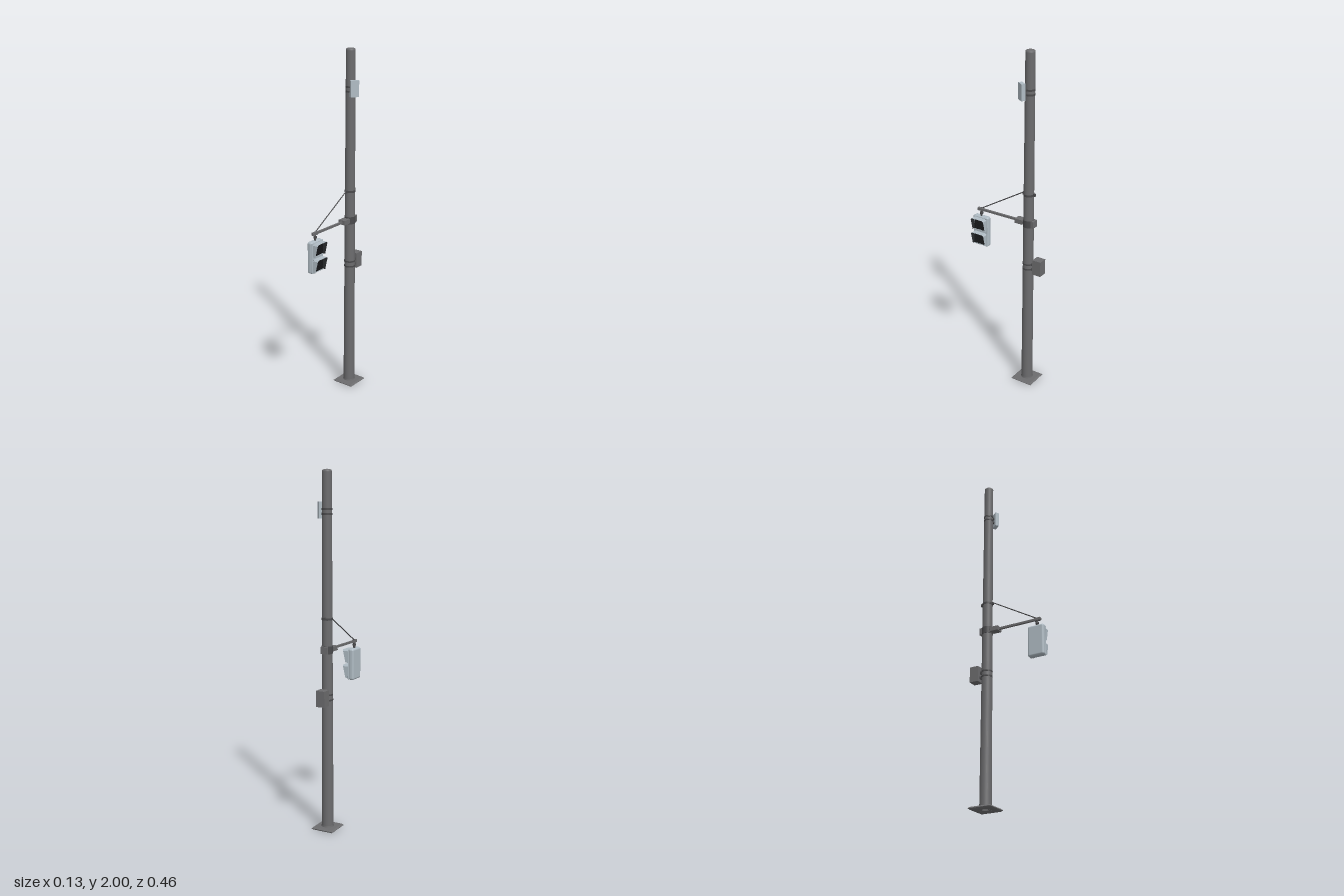
import * as THREE from 'three';
import { RoundedBoxGeometry } from 'three/addons/geometries/RoundedBoxGeometry.js';

const mat = (name, color, side = THREE.FrontSide) => {
  const m = new THREE.MeshStandardMaterial({ color, side });
  m.name = name;
  return m;
};

export function createModel() {
  const steel = mat('grey steel', 0x6c6c6e);
  const dark = mat('dark steel', 0x4a4a4c);
  const pale = mat('pale blue grey', 0xb0bcc4);
  const black = mat('black', 0x17181a);
  const hoodInside = mat('hood lining', 0x2b2d30, THREE.BackSide);
  const model = new THREE.Group();
  const PZ = -0.139; // pole axis
  const radiusAt = (y) => 0.033 - 0.0035 * y;

  const add = (name, geo, material, x = 0, y = 0, z = 0, parent = model) => {
    const mesh = new THREE.Mesh(geo, material);
    mesh.name = name;
    mesh.position.set(x, y, z);
    parent.add(mesh);
    return mesh;
  };
  const box = (name, w, h, d, material, x, y, z, parent) =>
    add(name, new THREE.BoxGeometry(w, h, d), material, x, y, z, parent);
  // Round bar between two points
  const bar = (name, a, b, r, material) => {
    const dir = b.clone().sub(a);
    const mid = a.clone().add(b).multiplyScalar(0.5);
    const m = add(name, new THREE.CylinderGeometry(r, r, dir.length(), 10), material, mid.x, mid.y, mid.z);
    m.quaternion.setFromUnitVectors(new THREE.Vector3(0, 1, 0), dir.normalize());
    return m;
  };

  // Tapered pole with a shallow domed cap
  add('pole', new THREE.CylinderGeometry(radiusAt(1.995), radiusAt(0), 1.99, 32, 1, true), steel, 0, 0.995, PZ);
  const cap = [[0.0262, 1.985], [0.0262, 1.991], [0.022, 1.996], [0.012, 1.999], [0, 2]];
  add('poleCap', new THREE.LatheGeometry(cap.map((p) => new THREE.Vector2(...p)), 32), steel, 0, 0, PZ);

  // Square base plate with a bevelled edge and a hole under the pole
  const s = 0.059;
  const plate = new THREE.Shape([[-s, -s], [s, -s], [s, s], [-s, s]].map((p) => new THREE.Vector2(...p)));
  plate.holes.push(new THREE.Path().absarc(0, 0, 0.034, 0, Math.PI * 2, true));
  const baseGeo = new THREE.ExtrudeGeometry(plate, {
    depth: 0.002, bevelEnabled: true, bevelSize: 0.008, bevelThickness: 0.007, bevelSegments: 1, curveSegments: 24,
  });
  baseGeo.rotateX(-Math.PI / 2);
  add('basePlate', baseGeo, steel, 0, 0.007, PZ);
  add('baseCollar', new THREE.CylinderGeometry(0.034, 0.036, 0.012, 32, 1, true), steel, 0, 0.018, PZ);
  const ring = new THREE.RingGeometry(0.019, 0.034, 32);
  ring.rotateX(Math.PI / 2);
  add('baseRing', ring, steel, 0, 0.003, PZ);

  // Clamping bands
  const band = (y, h) => {
    const r = radiusAt(y) + 0.0018;
    add('band', new THREE.CylinderGeometry(r, r, h, 32), dark, 0, y, PZ);
  };
  [[0.75, 0.009], [0.78, 0.009], [1.2, 0.012], [1.765, 0.01], [1.79, 0.01]].forEach(([y, h]) => band(y, h));
  box('bandBolt', 0.012, 0.014, 0.014, dark, 0, 1.204, PZ - 0.036);
  box('stayLug', 0.01, 0.014, 0.014, dark, 0, 1.2, PZ + 0.033);

  // Arm bracket: collar with front and rear clamp blocks
  band(1.03, 0.042);
  box('bracketFront', 0.044, 0.026, 0.05, steel, 0, 1.03, -0.085);
  box('bracketRear', 0.04, 0.04, 0.016, steel, 0, 1.03, PZ - 0.034);
  for (const x of [-0.016, 0.016]) box('bracketBolt', 0.007, 0.007, 0.08, dark, x, 1.03, PZ);

  // Arm, stay rod and signal hanger
  box('arm', 0.012, 0.012, 0.265, steel, 0, 1.03, 0.0725);
  box('armTip', 0.016, 0.016, 0.038, steel, 0, 1.03, 0.184);
  bar('stayRod', new THREE.Vector3(0, 1.034, 0.185), new THREE.Vector3(0, 1.205, -0.103), 0.003, dark);
  bar('hanger', new THREE.Vector3(0, 0.985, 0.181), new THREE.Vector3(0, 1.028, 0.181), 0.006, dark);
  add('hangerNut', new THREE.CylinderGeometry(0.01, 0.01, 0.01, 12), dark, 0, 1.008, 0.181);

  // Rear control cabinet
  box('cabinet', 0.052, 0.09, 0.053, steel, -0.006, 0.77, -0.2055);
  for (const y of [0.75, 0.78]) box('cabinetMount', 0.024, 0.014, 0.02, dark, 0, y, -0.174);

  // Upper sensor box, turned diagonally away from the pole
  const sensor = new THREE.Group();
  sensor.name = 'sensor';
  sensor.position.set(0.043, 1.785, -0.116);
  sensor.rotation.y = -0.6;
  model.add(sensor);
  box('sensorBox', 0.023, 0.09, 0.046, pale, 0, 0, 0, sensor);
  for (const y of [-0.02, 0.005]) box('sensorMount', 0.014, 0.01, 0.018, dark, -0.017, y, 0, sensor);

  // Two-section pedestrian signal facing +x
  const signal = new THREE.Group();
  signal.name = 'signal';
  signal.position.set(0, 0.899, 0.179);
  model.add(signal);
  add('signalBody', new RoundedBoxGeometry(0.033, 0.184, 0.1, 4, 0.012), pale, -0.0035, 0, 0, signal);
  add('signalDoor', new RoundedBoxGeometry(0.008, 0.178, 0.096, 2, 0.003), pale, 0.013, 0, 0, signal);

  // Hood: arch section in z/y whose depth shrinks towards the bottom
  const hoodGeo = () => {
    const arch = [[0.043, -0.038], [0.043, 0.03], [0.036, 0.038], [-0.036, 0.038], [-0.043, 0.03], [-0.043, -0.038]];
    const pos = [];
    const pt = ([z, y], out) => [out ? 0.034 + 0.018 * (y + 0.038) / 0.076 : 0.015, y, z];
    for (let i = 0; i < arch.length - 1; i++) {
      const a = pt(arch[i], 0), b = pt(arch[i], 1), c = pt(arch[i + 1], 1), d = pt(arch[i + 1], 0);
      pos.push(...a, ...b, ...c, ...a, ...c, ...d);
    }
    const g = new THREE.BufferGeometry();
    g.setAttribute('position', new THREE.Float32BufferAttribute(pos, 3));
    g.computeVertexNormals();
    return g;
  };
  for (const y of [0.046, -0.044]) {
    const hood = hoodGeo();
    add('hood', hood, pale, 0, y, 0, signal);
    add('hoodLining', hood, hoodInside, 0, y, 0, signal);
    box('screen', 0.003, 0.072, 0.078, black, 0.0175, y, 0, signal);
    // Louvre grid over the screen
    for (let i = -4; i <= 4; i++) {
      box('louvre', 0.006, 0.0015, 0.076, black, 0.021, y + i * 0.008, 0, signal);
      box('louvre', 0.006, 0.07, 0.0015, black, 0.021, y, i * 0.009, signal);
    }
  }
  return model;
}
